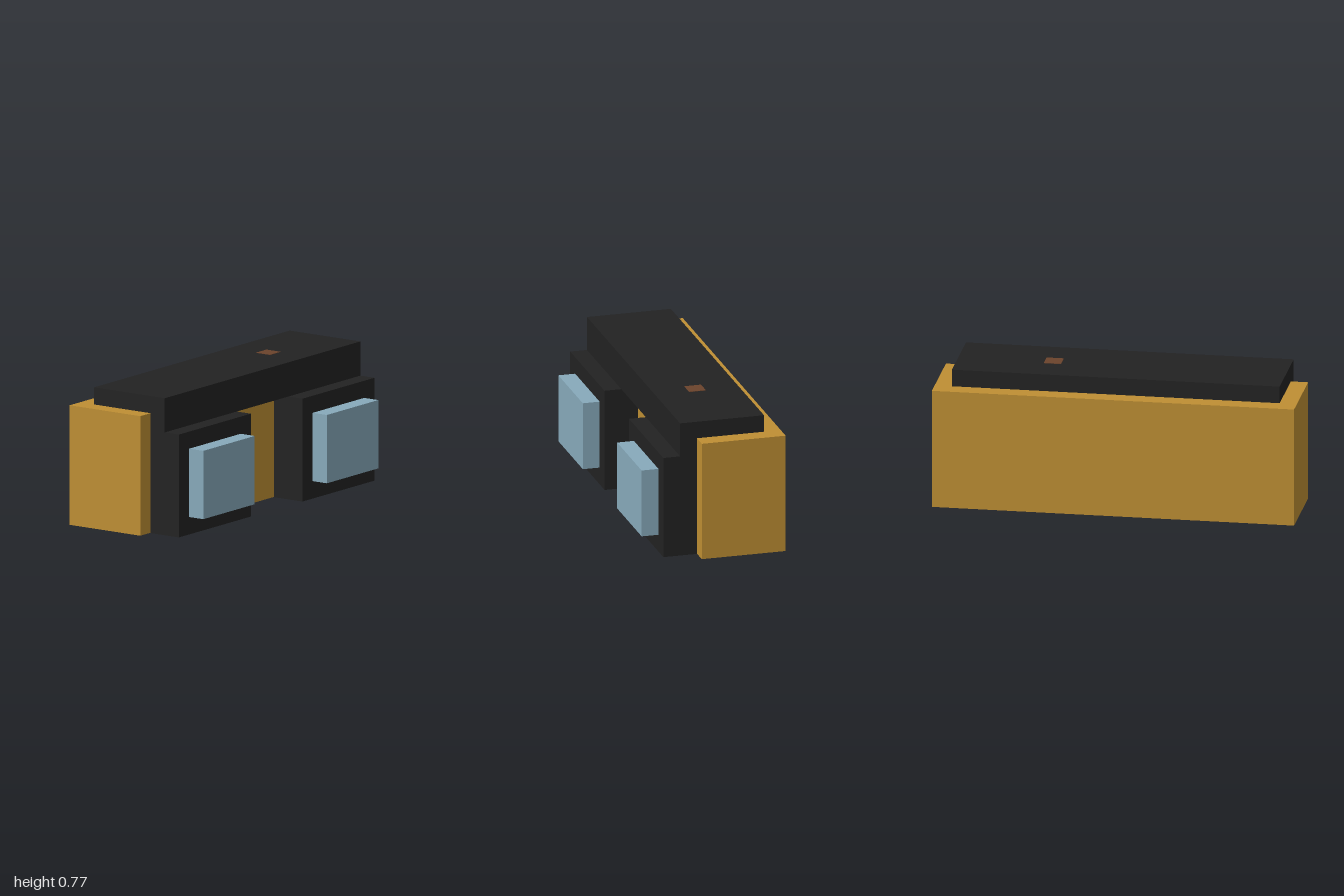
import * as THREE from 'three';

const U = 2 / 21; // block unit: the body is 21 units wide

export function createModel() {
  const group = new THREE.Group();
  const material = (name, color) => {
    const m = new THREE.MeshStandardMaterial({ color });
    m.name = name;
    return m;
  };
  const ochre = material('ochre', 0xbf8f33);
  const black = material('black', 0x222222);
  const blue = material('pale blue', 0x87aabb);
  const brown = material('brown', 0x6b432c);

  // Box given by its two corners, in block units
  const block = (name, mat, [x0, y0, z0], [x1, y1, z1]) => {
    const geo = new THREE.BoxGeometry((x1 - x0) * U, (y1 - y0) * U, (z1 - z0) * U);
    const mesh = new THREE.Mesh(geo, mat);
    mesh.position.set((x0 + x1) / 2 * U, (y0 + y1) / 2 * U, (z0 + z1) / 2 * U);
    mesh.name = name;
    group.add(mesh);
  };

  // Main body and the cap that overhangs its front
  block('body', ochre, [-10.5, 0, -4], [10.5, 7, 1]);
  block('cap', black, [-9.5, 6, -3], [9.5, 8, 2]);

  // Two framed lenses, frames sunk into the body and just proud of its underside
  for (const [side, cx] of [['left', 6], ['right', -6]]) {
    block(side + 'Frame', black, [cx - 3.5, -0.02, 0], [cx + 3.5, 6, 3]);
    block(side + 'Lens', blue, [cx - 2.5, 1, 3], [cx + 2.5, 5, 4]);
  }

  // Small square spots on the cap and under the frames
  block('capSpot', brown, [3.5, 7.98, -1], [4.5, 8.02, 0]);
  for (const [side, x] of [['left', 6], ['right', -8]]) {
    block(side + 'FrameSpot', brown, [x - 0.5, -0.04, 0], [x + 0.5, 0, 1]);
  }
  return group;
}
